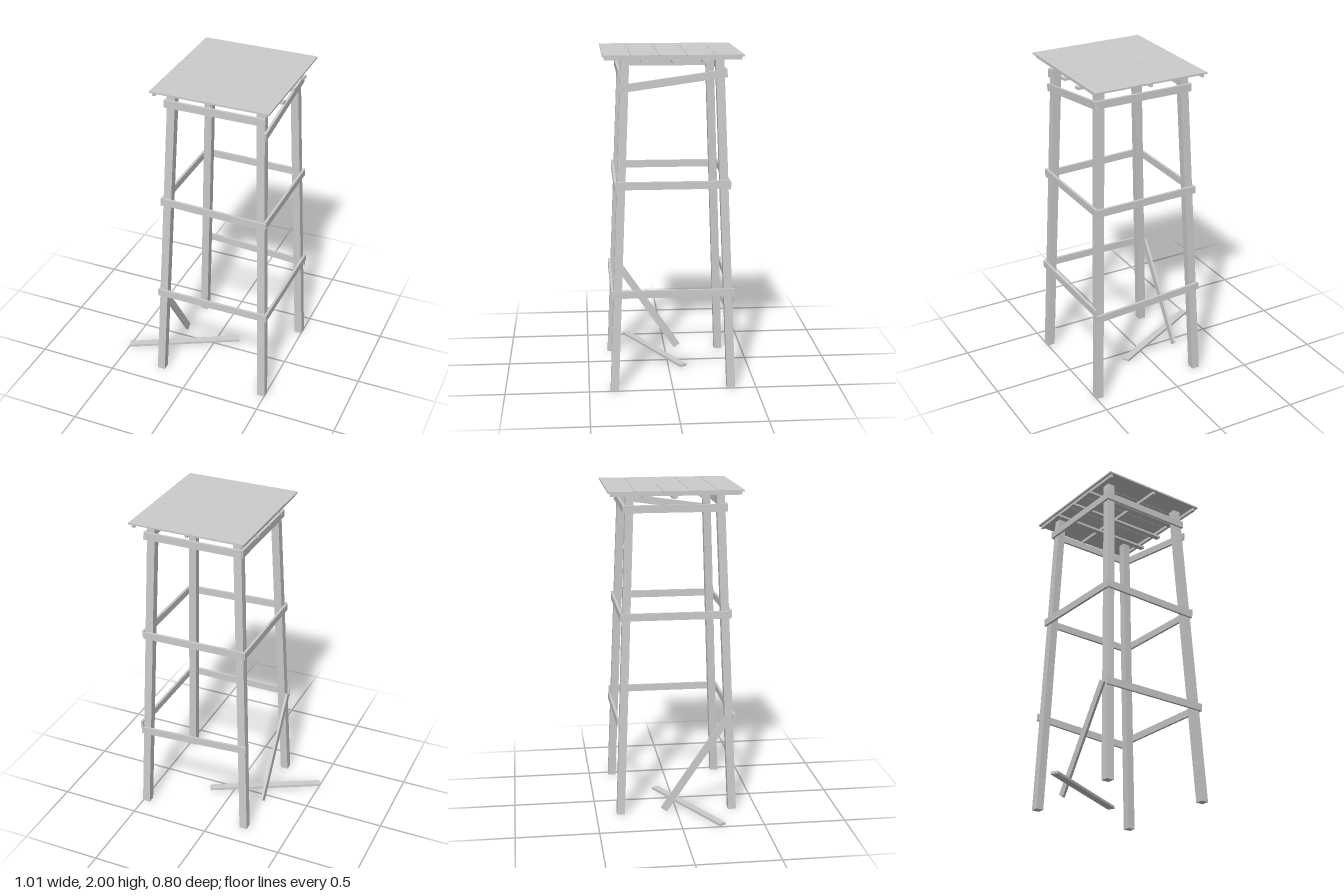
import * as THREE from 'three';

const V = (x, y, z) => new THREE.Vector3(x, y, z);

export function createModel() {
  const tower = new THREE.Group();
  tower.name = 'watchtower';
  const wood = new THREE.MeshStandardMaterial({ color: 0xcccccc, flatShading: true });

  function add(name, geometry) {
    const mesh = new THREE.Mesh(geometry, wood);
    mesh.name = name;
    tower.add(mesh);
    return mesh;
  }

  // Straight board from a to b; its thin side points along "face"
  function board(name, a, b, face, width = 0.045, thickness = 0.015) {
    const along = b.clone().sub(a);
    const mesh = add(name, new THREE.BoxGeometry(along.length(), width, thickness));
    const x = along.normalize();
    const y = face.clone().cross(x).normalize();
    const z = x.clone().cross(y);
    mesh.quaternion.setFromRotationMatrix(new THREE.Matrix4().makeBasis(x, y, z));
    mesh.position.copy(a).add(b).multiplyScalar(0.5);
  }

  // Four legs leaning inwards, cut level at both ends
  const H = 1.99, LEG = 0.049, MID = 0.134;
  const halfX = (y) => 0.345 - 0.078 * y / H;
  const halfZ = (y) => 0.349 - 0.08 * y / H;
  for (const sx of [-1, 1]) {
    for (const sz of [-1, 1]) {
      const geo = new THREE.BoxGeometry(LEG, H - 0.005, LEG).translate(0, H / 2 + 0.0025, 0);
      const p = geo.attributes.position;
      for (let i = 0; i < p.count; i++) {
        const y = p.getY(i);
        p.setX(i, p.getX(i) + MID + sx * halfX(y));
        p.setZ(i, p.getZ(i) + sz * halfZ(y));
      }
      geo.computeVertexNormals();
      add('leg', geo);
    }
  }

  // Rails across the front and back: [side, height at -x end, height at +x end]
  const OUT = LEG / 2 + 0.0075;
  const faceX = V(1, 0, 0), faceY = V(0, 1, 0), faceZ = V(0, 0, 1);
  const crossRails = [
    [1, 0.602, 0.602], [1, 1.252, 1.233], [1, 1.89, 1.89],
    [-1, 0.6, 0.557], [-1, 1.25, 1.24], [-1, 1.89, 1.89],
  ];
  for (const [s, y0, y1] of crossRails) {
    const y = (y0 + y1) / 2;
    const z = s * (halfZ(y) + OUT);
    const reach = halfX(y) + 0.033;
    board(s > 0 ? 'frontRail' : 'backRail', V(MID - reach, y0, z), V(MID + reach, y1, z), faceZ);
  }

  // Rails along the sides: [side, height at back, height at front]
  const sideRails = [
    [1, 0.602, 0.602], [1, 1.247, 1.247], [1, 1.89, 1.803],
    [-1, 1.247, 1.247], [-1, 1.89, 1.89],
  ];
  for (const [s, y0, y1] of sideRails) {
    const y = (y0 + y1) / 2;
    const x = MID + s * (halfX(y) + OUT);
    const reach = halfZ(y) + 0.037;
    board('sideRail', V(x, y0, -reach), V(x, y1, reach), faceX);
  }

  // Loose rail hanging from the front leg, and another lying on the ground
  board('hangingRail', V(-0.223, 0.61, 0.32), V(-0.222, 0.02, -0.08), faceX);
  board('fallenRail', V(-0.497, 0.02, 0.244), V(0.146, 0.02, -0.092), faceY);

  // Platform: joists under battens under five planks
  for (const z of [-0.183, -0.01, 0.165]) {
    board('joist', V(-0.225, 1.963, z), V(0.494, 1.963, z), faceY, 0.034, 0.015);
  }
  for (const x of [-0.2, 0.134, 0.467]) {
    board('batten', V(x, 1.98, -0.39), V(x, 1.98, 0.39), faceY, 0.016, 0.02);
  }
  for (let i = 0; i < 5; i++) {
    const z = (i - 2) * 0.161;
    board('plank', V(-0.221, 1.995, z), V(0.491, 1.995, z), faceY, 0.159, 0.01);
  }
  return tower;
}
